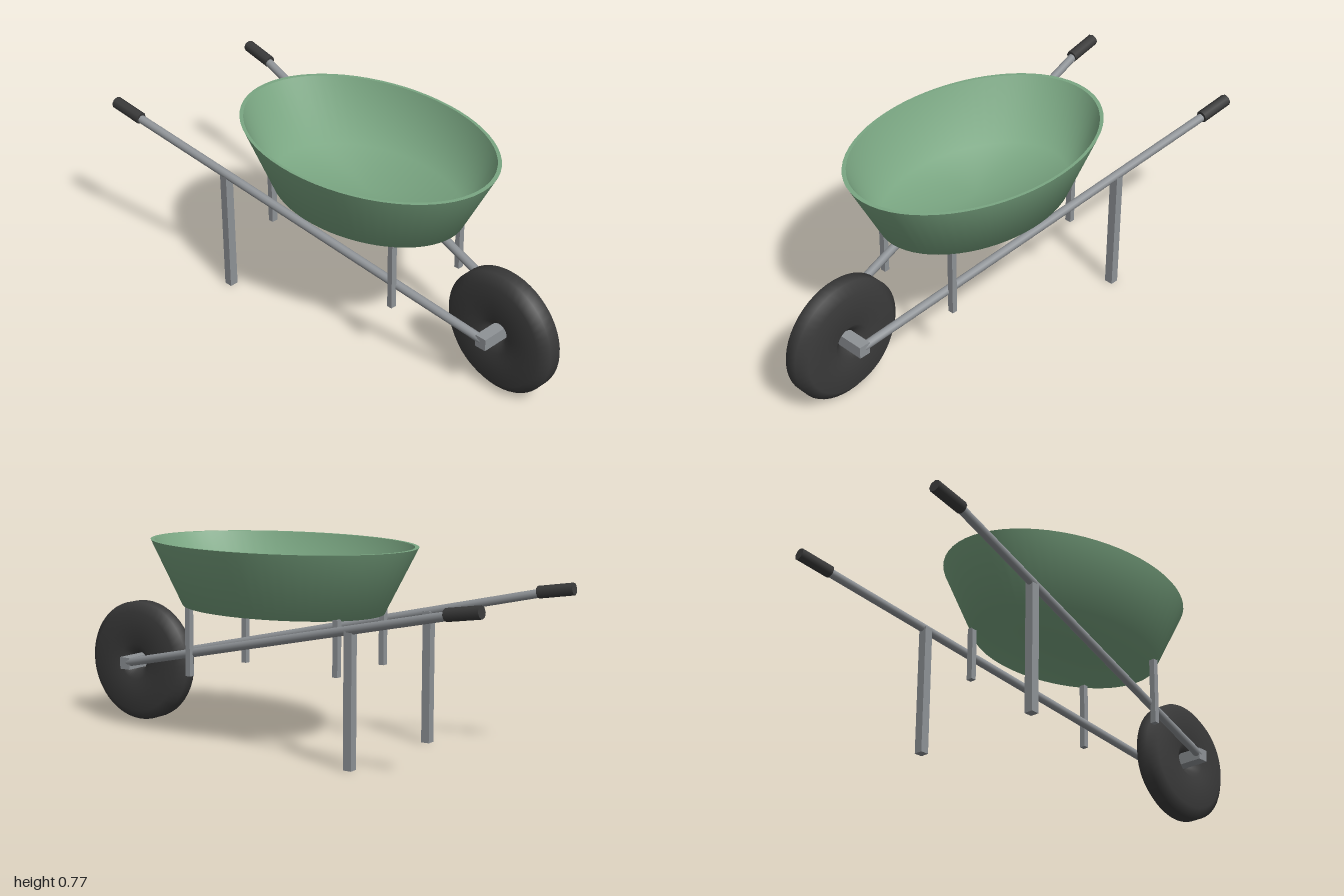
import * as THREE from 'three';

const green = new THREE.MeshStandardMaterial({ color: 0x7aa682, side: THREE.DoubleSide });
green.name = 'trayGreen';
const grey = new THREE.MeshStandardMaterial({ color: 0x8e9296 });
grey.name = 'steelGrey';
const black = new THREE.MeshStandardMaterial({ color: 0x3a3a3a });
black.name = 'rubberBlack';

const lathe = (pts, segs) => new THREE.LatheGeometry(pts.map(([r, y]) => new THREE.Vector2(r, y)), segs);

export function createModel() {
  const group = new THREE.Group();
  const add = (name, geometry, material, parent = group) => {
    const mesh = new THREE.Mesh(geometry, material);
    mesh.name = name;
    parent.add(mesh);
    return mesh;
  };
  // Box given by its centre x, z and its vertical range
  const post = (name, x, z, y0, y1, w, d) =>
    add(name, new THREE.BoxGeometry(w, y1 - y0, d), grey).position.set(x, (y0 + y1) / 2, z);
  // Round bar between two points
  const bar = (name, a, b, radius, sides, material) => {
    const from = new THREE.Vector3(...a), to = new THREE.Vector3(...b);
    const dir = to.clone().sub(from);
    const mesh = add(name, new THREE.CylinderGeometry(radius, radius, dir.length(), sides), material);
    mesh.position.copy(from).add(to).multiplyScalar(0.5);
    mesh.quaternion.setFromUnitVectors(new THREE.Vector3(0, 1, 0), dir.normalize());
  };

  // Oval tray: soft outer shell, flat rim and soft inner shell
  const tray = new THREE.Group();
  tray.name = 'tray';
  tray.scale.set(0.565, 1, 0.385);
  tray.position.x = 0.063;
  group.add(tray);
  add('trayOutside', lathe([[0, 0.515], [0.758, 0.515], [1, 0.77]], 64), green, tray);
  add('trayRim', lathe([[1, 0.77], [0.97, 0.77]], 64), green, tray);
  add('trayInside', lathe([[0.97, 0.77], [0.74, 0.53], [0, 0.53]], 64), green, tray);

  // Wheel: rounded tyre with an open centre
  const tyre = lathe([
    [0.036, 0], [0.036, -0.023], [0.075, -0.055], [0.205, -0.055], [0.243, -0.025],
    [0.243, 0.025], [0.205, 0.055], [0.075, 0.055], [0.036, 0.023], [0.036, 0],
  ], 48);
  tyre.rotateX(Math.PI / 2);
  add('wheel', tyre, black).position.set(0.757, 0.244, 0);

  // Axle block through the wheel
  add('axle', new THREE.BoxGeometry(0.048, 0.048, 0.244), grey).position.set(0.755, 0.246, 0);

  // Handles, legs and tray supports, mirrored
  for (const s of [1, -1]) {
    const side = s > 0 ? 'Front' : 'Back';
    bar('handle' + side, [-0.87, 0.609, s * 0.343], [0.755, 0.248, s * 0.105], 0.017, 12, grey);
    bar('grip' + side, [-0.996, 0.632, s * 0.352], [-0.855, 0.61, s * 0.343], 0.024, 8, black);
    post('leg' + side, -0.428, s * 0.276, 0, 0.512, 0.034, 0.035);
    post('rearSupport' + side, -0.295, s * 0.16, 0.308, 0.522, 0.022, 0.026);
    post('wheelEndSupport' + side, 0.373, s * 0.183, 0.245, 0.522, 0.022, 0.024);
  }
  return group;
}
